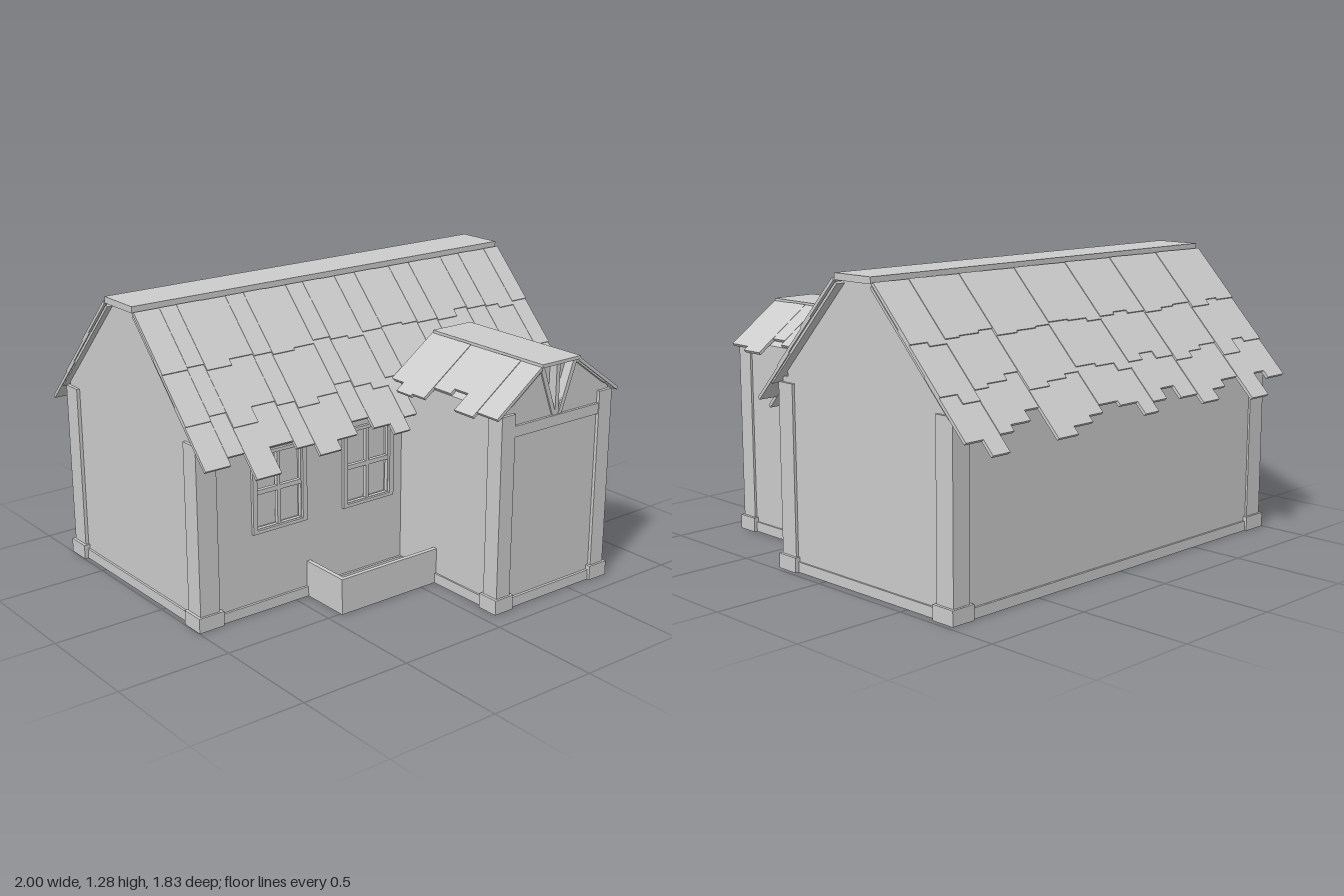
import * as THREE from 'three';

const mat = new THREE.MeshStandardMaterial({ color: 0xcccccc, flatShading: true });

function add(parent, name, geo) {
  const m = new THREE.Mesh(geo, mat);
  m.name = name;
  parent.add(m);
  return m;
}

// Box given by its minimum and maximum corners
function box(parent, name, x0, x1, y0, y1, z0, z1) {
  const m = add(parent, name, new THREE.BoxGeometry(x1 - x0, y1 - y0, z1 - z0));
  m.position.set((x0 + x1) / 2, (y0 + y1) / 2, (z0 + z1) / 2);
  return m;
}

const poly = (pts) => pts.map(([x, y]) => new THREE.Vector2(x, y));
const rect = (x0, x1, y0, y1) => [[x0, y0], [x1, y0], [x1, y1], [x0, y1]];

// Flat outline with optional holes, extruded from z0 to z1
function slab(pts, holes, z0, z1) {
  const s = new THREE.Shape(poly(pts));
  holes.forEach((h) => s.holes.push(new THREE.Path(poly(h))));
  return new THREE.ExtrudeGeometry(s, { depth: z1 - z0, bevelEnabled: false }).translate(0, 0, z0);
}

// Shingled slope: local +z runs down the slope, local x along the ridge.
// Each row is { start, base, jitter, lift }; reaches are horizontal distances.
function roofSlope(parent, name, { pos, turn, slope, edges, reach, mean, rows, under, flip }) {
  const side = new THREE.Group();
  side.name = name;
  side.position.set(...pos);
  side.rotation.y = turn;
  const pitch = new THREE.Group();
  pitch.rotation.x = Math.atan(slope);
  side.add(pitch);
  const k = Math.hypot(1, slope);
  const span = (i, j) => [edges[i] * flip, edges[j] * flip].sort((a, b) => a - b);
  const [u0, u1] = span(0, edges.length - 1);
  box(pitch, 'roofBoard', u0 + 0.005, u1 - 0.005, -0.012, 0, 0, under * k);
  rows.forEach((row) => {
    reach.forEach((r, i) => {
      const [a, b] = span(i, i + 1);
      const end = row.base + (r - mean) * row.jitter;
      const y = row.lift + 0.0015 * (i % 3);
      box(pitch, 'shingle', a, b, y - 0.01, y + 0.004, row.start * k, end * k);
    });
  });
  parent.add(side);
}

// Corner post with a wider foot
function cornerPost(parent, x0, x1, z0, z1, top) {
  box(parent, 'cornerPost', x0, x1, 0, top, z0, z1);
  box(parent, 'postFoot', x0 - 0.013, x1 + 0.013, 0, 0.065, z0 - 0.01, z1 + 0.01);
}

function buildWindow(parent, x) {
  const g = new THREE.Group();
  g.name = 'window';
  const holes = [];
  for (const hx of [0.025, 0.145]) {
    for (const hy of [0.372, 0.542]) holes.push(rect(x + hx, x + hx + 0.105, hy, hy + 0.15));
  }
  add(g, 'windowBars', slab(rect(x + 0.01, x + 0.265, 0.36, 0.70), holes, 0.25, 0.268));
  add(g, 'windowFrame', slab(rect(x, x + 0.275, 0.355, 0.71),
    [rect(x + 0.022, x + 0.253, 0.37, 0.695)], 0.255, 0.28));
  parent.add(g);
}

function buildHouse(root) {
  const g = new THREE.Group();
  g.name = 'house';
  const zc = -0.243;

  // Gabled body, extruded along x
  const body = slab([[-0.51, 0], [0.475, 0], [0.475, 0.855], [0.107, 1.245], [0.107, 1.258],
    [-0.107, 1.258], [-0.107, 1.245], [-0.51, 0.82]], [], -0.955, 0.97);
  body.rotateY(-Math.PI / 2).translate(0, 0, zc);
  add(g, 'gabledBody', body);

  // Front wall with window openings
  const xs = [-0.715, -0.245];
  add(g, 'frontWall', slab(rect(-0.97, 0.955, 0, 0.825),
    xs.map((x) => rect(x + 0.015, x + 0.26, 0.365, 0.70)), 0.225, 0.266));
  xs.forEach((x) => buildWindow(g, x));

  // Corner posts and sills
  for (const [x0, x1] of [[-0.985, -0.89], [0.88, 0.967]]) {
    cornerPost(g, x0, x1, 0.19, 0.28, 0.80);
    cornerPost(g, x0, x1, -0.762, -0.67, 0.80);
  }
  box(g, 'frontSill', -0.89, 0.88, 0, 0.045, 0.2, 0.277);
  box(g, 'backSill', -0.89, 0.88, 0, 0.045, -0.762, -0.68);
  box(g, 'rightSill', -0.98, -0.9, 0, 0.045, -0.68, 0.2);
  box(g, 'leftSill', 0.89, 0.963, 0, 0.045, -0.68, 0.2);

  // Roof
  box(g, 'ridgeCap', -1, 1, 1.257, 1.285, zc - 0.108, zc + 0.108);
  const edges = [-1, -0.88, -0.8, -0.68, -0.56, -0.47, -0.36, -0.25, -0.16, -0.07, 0.015,
    0.125, 0.24, 0.325, 0.44, 0.553, 0.634, 0.745, 0.82, 0.91, 1];
  const reach = [0.855, 0.83, 0.914, 0.83, 0.855, 0.893, 0.86, 0.818, 0.855, 0.888, 0.845,
    0.83, 0.855, 0.877, 0.904, 0.8, 0.834, 0.855, 0.91, 0.86].map((z) => z - 0.35);
  const rows = [
    { start: 0, base: 0.205, jitter: 0.25, lift: 0.016 },
    { start: 0.15, base: 0.37, jitter: 0.6, lift: 0.01 },
    { start: 0.3, base: 0.51, jitter: 1, lift: 0.004 },
  ];
  for (const s of [1, -1]) {
    roofSlope(g, s > 0 ? 'frontRoof' : 'backRoof', {
      pos: [0, 1.25, zc + s * 0.107], turn: s > 0 ? 0 : Math.PI, slope: 1.043,
      edges, reach, mean: 0.51, rows, under: 0.43, flip: s,
    });
  }
  root.add(g);
}

function buildPorch(root) {
  const g = new THREE.Group();
  g.name = 'porch';
  const xc = 0.395;

  // Body and gable front with a recessed truss opening
  const outline = [[0.085, 0], [0.705, 0], [0.705, 0.875], [0.505, 1.022], [0.505, 1.036],
    [0.285, 1.036], [0.285, 1.022], [0.085, 0.875]];
  add(g, 'porchBody', slab(outline, [], 0.25, 0.85));
  add(g, 'porchFront', slab(outline, [[[0.3, 1.025], [0.49, 1.025], [xc, 0.812]]], 0.85, 0.885));
  box(g, 'kingStrut', xc - 0.01, xc + 0.01, 0.81, 1.03, 0.85, 0.89);
  for (const s of [-1, 1]) {
    const strut = [[xc + s * 0.005, 0.81], [xc + s * 0.025, 0.81],
      [xc + s * 0.108, 1.033], [xc + s * 0.085, 1.033]];
    add(g, 'diagonalStrut', slab(strut, [], 0.85, 0.892));
  }
  box(g, 'crossBeam', 0.14, 0.65, 0.765, 0.812, 0.85, 0.897);

  // Posts and sills
  cornerPost(g, 0.075, 0.15, 0.82, 0.9, 0.865);
  cornerPost(g, 0.64, 0.715, 0.82, 0.9, 0.865);
  box(g, 'porchFrontSill', 0.15, 0.64, 0, 0.045, 0.83, 0.897);
  box(g, 'porchRightSill', 0.077, 0.14, 0, 0.045, 0.26, 0.83);
  box(g, 'porchLeftSill', 0.65, 0.713, 0, 0.045, 0.26, 0.83);

  // Roof
  box(g, 'porchRidgeCap', xc - 0.11, xc + 0.11, 1.034, 1.049, 0.235, 0.907);
  const edges = [0.235, 0.315, 0.41, 0.485, 0.59, 0.675, 0.787, 0.905];
  const reach = [0.228, 0.268, 0.26, 0.207, 0.185, 0.262, 0.24];
  for (const s of [1, -1]) {
    roofSlope(g, s > 0 ? 'porchLeftRoof' : 'porchRightRoof', {
      pos: [xc + s * 0.108, 1.03, 0], turn: s * Math.PI / 2, slope: 0.72,
      edges, reach, mean: 0.23, under: 0.17, flip: -s,
      rows: [{ start: 0, base: 0.23, jitter: 1, lift: 0.006 }],
    });
  }
  root.add(g);
}

// Open-topped trough beside the porch
function buildTrough(root) {
  const g = new THREE.Group();
  g.name = 'trough';
  box(g, 'troughFloor', -0.43, 0.08, 0, 0.02, 0.27, 0.505);
  box(g, 'troughFront', -0.435, 0.085, 0, 0.16, 0.49, 0.51);
  box(g, 'troughEnd', -0.435, -0.415, 0, 0.16, 0.26, 0.49);
  root.add(g);
}

export function createModel() {
  const root = new THREE.Group();
  root.name = 'cottage';
  buildHouse(root);
  buildPorch(root);
  buildTrough(root);
  return root;
}
